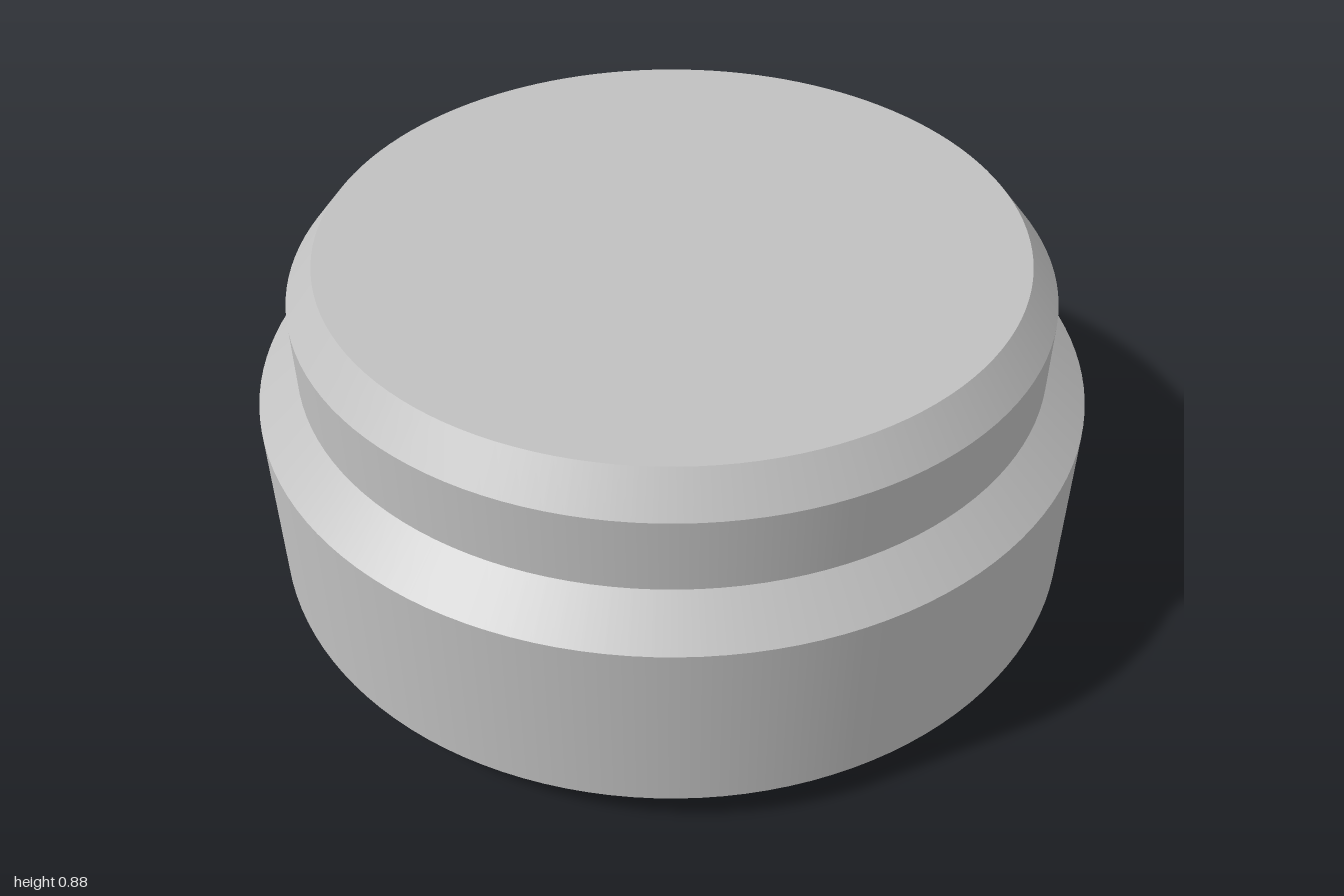
import * as THREE from 'three';

const SEGMENTS = 128;

export function createModel() {
  const model = new THREE.Group();
  model.name = 'steppedCap';
  const grey = new THREE.MeshStandardMaterial({ color: 0xc0c0c0, side: THREE.DoubleSide });
  grey.name = 'light grey';

  // Thin open-bottomed shell: each band is its own lathe, so its edges stay sharp
  const profile = [
    [0.92, 0], [1, 0.083], [1, 0.527], [0.9, 0.615], [0.9, 0.794], [0.832, 0.88],
  ].map(([r, y]) => new THREE.Vector2(r, y));
  const names = ['bottomChamfer', 'lowerWall', 'shoulder', 'upperWall', 'topChamfer'];

  names.forEach((name, i) => {
    const band = new THREE.Mesh(
      new THREE.LatheGeometry([profile[i], profile[i + 1]], SEGMENTS), grey);
    band.name = name;
    model.add(band);
  });

  // Flat disc closing the top
  const rim = profile[profile.length - 1];
  const top = new THREE.Mesh(new THREE.CircleGeometry(rim.x, SEGMENTS), grey);
  top.name = 'topDisc';
  top.rotation.x = -Math.PI / 2;
  top.position.y = rim.y;
  model.add(top);

  return model;
}
